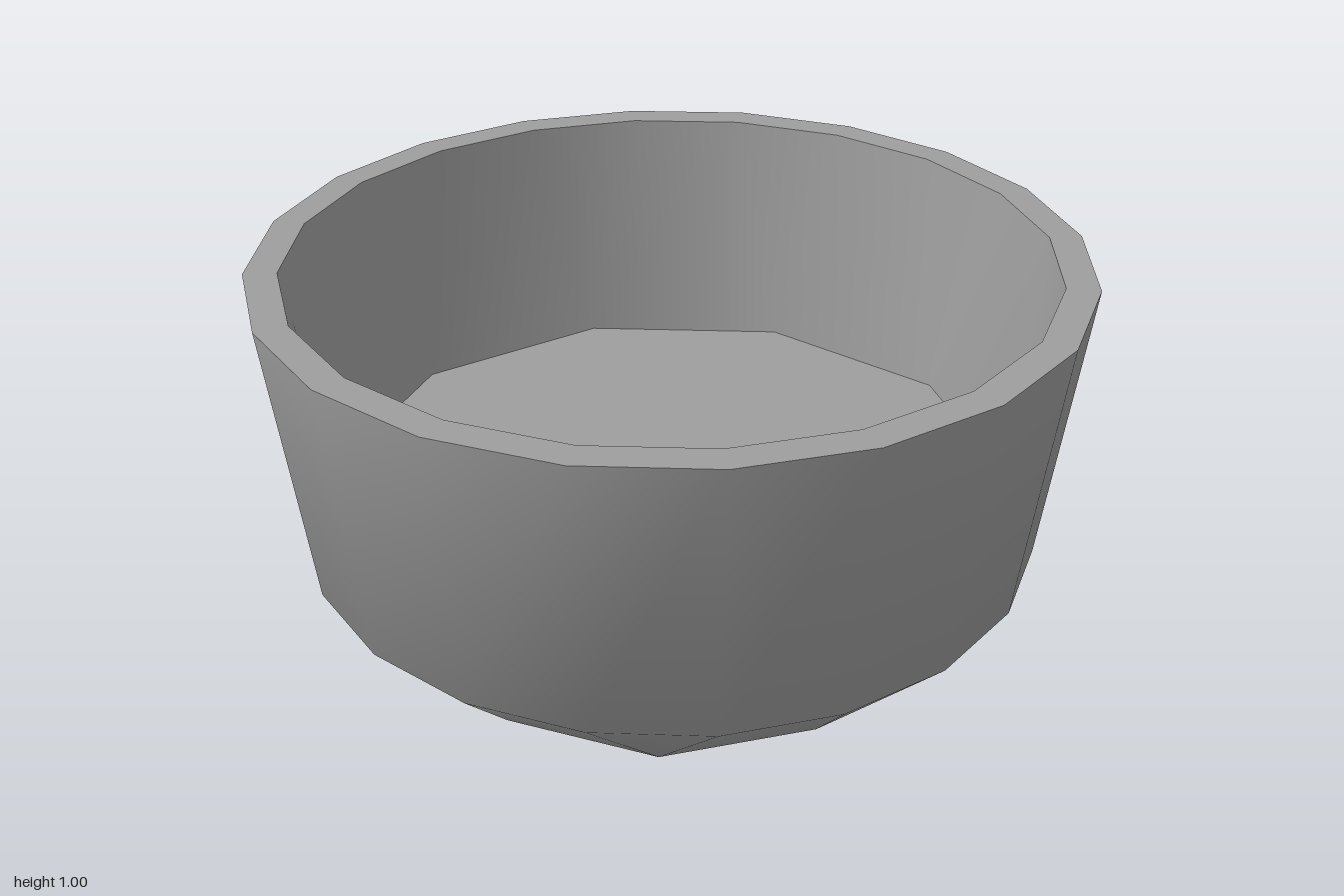
import * as THREE from 'three';

const SIDES = 20;

// A horizontal ring whose points each stand for `per` neighbouring sides.
function ring(radius, y, per = 1, shift = 0) {
  const count = SIDES / per;
  const angles = [];
  for (let j = 0; j < count; j++) {
    angles.push((j * per - shift + (per - 1) / 2) * (2 * Math.PI / SIDES));
  }
  return { radius, y, angles, at: (i) => Math.floor((i + shift) / per) % count };
}

// Smooth surface through a list of rings, skipping collapsed triangles.
function loft(name, rings, material) {
  const positions = [];
  const normals = [];
  const index = [];
  const starts = [];

  // Profile normal of each band between two rings, as (radial, up).
  const bands = rings.slice(1).map((lower, k) =>
    new THREE.Vector2(rings[k].y - lower.y, lower.radius - rings[k].radius).normalize());

  rings.forEach(({ radius, y, angles }, k) => {
    starts.push(positions.length / 3);
    const before = bands[Math.max(k - 1, 0)];
    const after = bands[Math.min(k, bands.length - 1)];
    const n = before.clone().add(after).normalize();
    for (const a of angles) {
      positions.push(radius * Math.cos(a), y, radius * Math.sin(a));
      normals.push(n.x * Math.cos(a), n.y, n.x * Math.sin(a));
    }
  });

  const triangle = (a, b, c) => {
    if (a !== b && b !== c && c !== a) index.push(a, b, c);
  };
  for (let k = 0; k + 1 < rings.length; k++) {
    for (let i = 0; i < SIDES; i++) {
      const a = starts[k] + rings[k].at(i);
      const b = starts[k] + rings[k].at(i + 1);
      const c = starts[k + 1] + rings[k + 1].at(i);
      const d = starts[k + 1] + rings[k + 1].at(i + 1);
      triangle(a, b, d);
      triangle(a, d, c);
    }
  }

  const geometry = new THREE.BufferGeometry();
  geometry.setAttribute('position', new THREE.Float32BufferAttribute(positions, 3));
  geometry.setAttribute('normal', new THREE.Float32BufferAttribute(normals, 3));
  geometry.setIndex(index);
  const mesh = new THREE.Mesh(geometry, material);
  mesh.name = name;
  return mesh;
}

export function createModel() {
  const group = new THREE.Group();
  group.name = 'bowl';
  const material = new THREE.MeshStandardMaterial({ color: 0x9e9e9e });

  const outerRim = ring(1, 1);
  const innerRim = ring(0.92, 1);
  const shoulder = ring(0.912, 0.285);
  const base = ring(0.63, 0, 2, 1); // ten sides, each point under a pair
  const floor = ring(0.85, 0.4, 2, 0); // ten sides, turned from the base

  group.add(
    loft('outerWall', [outerRim, shoulder, base], material),
    loft('rim', [innerRim, outerRim], material),
    loft('innerWall', [floor, innerRim], material),
    loft('innerFloor', [ring(0, 0.4, SIDES), floor], material),
    loft('base', [base, ring(0, 0, SIDES)], material),
  );
  return group;
}
